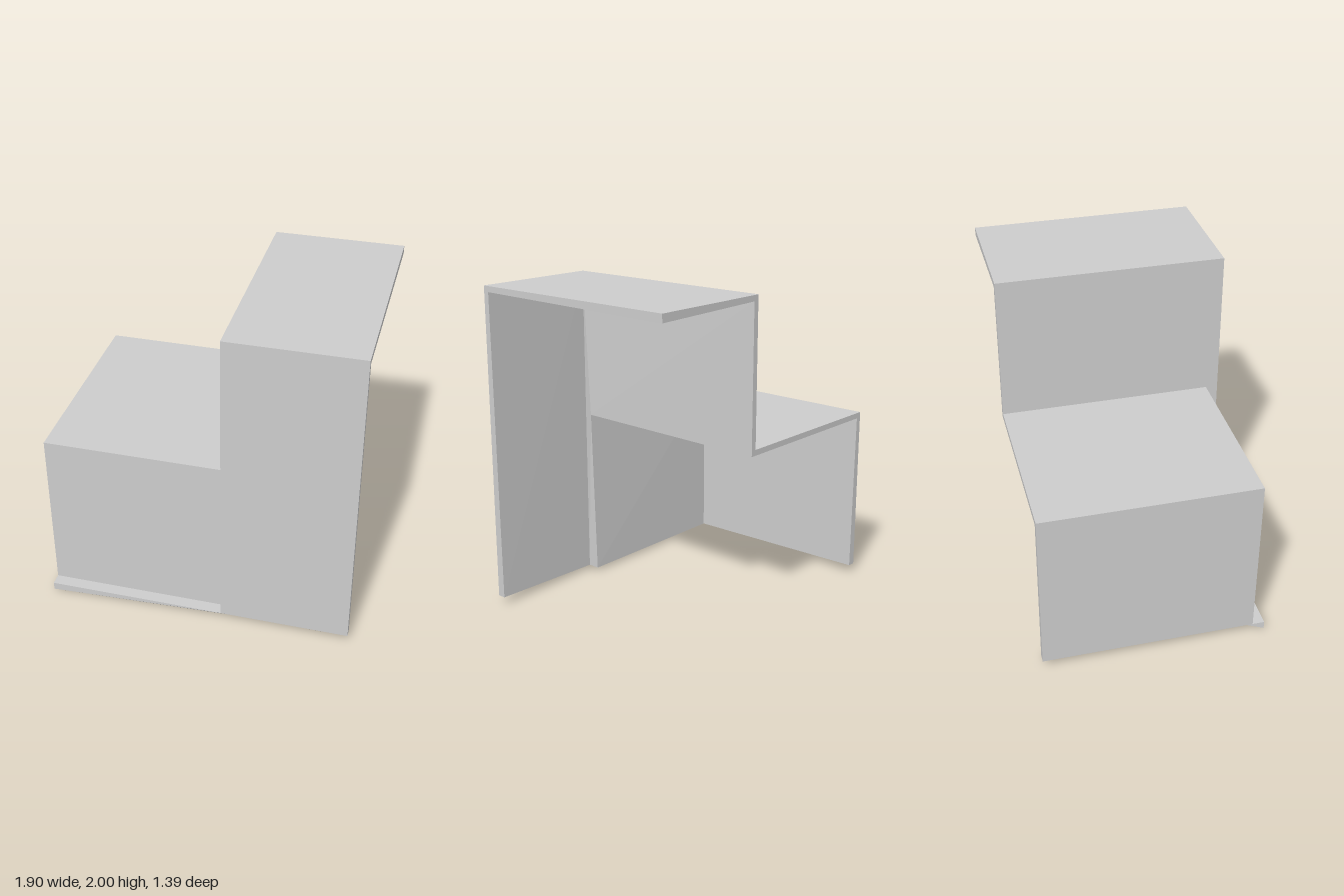
import * as THREE from 'three';

const THICKNESS = 0.05;

// Corner points of the stepped shell
const [X0, X1, X2] = [-0.95, 0.155, 0.95]; // low end, step, tall end
const [BACK, LOW, FRONT] = [-0.695, 0.62, 0.695];
const [FOOT, STEP, TOP] = [0.05, 1.1, 2];
const POINTS = {
  topBack: [X1, TOP, BACK], topFront: [X1, TOP, FRONT],
  topBackEnd: [X2, TOP, BACK], topFrontEnd: [X2, TOP, FRONT],
  footEnd: [X2, FOOT, FRONT], footStep: [X1, FOOT, FRONT], footLow: [X1, FOOT, LOW],
  stepFront: [X1, STEP, LOW], stepBack: [X1, STEP, BACK],
  sideBack: [X0, STEP, BACK], sideFront: [X0, STEP, LOW],
  sideFootFront: [X0, FOOT, LOW], sideFootBack: [X0, FOOT, BACK], ledgeEnd: [X0, FOOT, FRONT],
};

// Panels, counter-clockwise from outside; the L-shaped riser starts at its inner corner
const PANELS = {
  tallTop: ['topBack', 'topFront', 'topFrontEnd', 'topBackEnd'],
  tallFront: ['topFront', 'footStep', 'footEnd', 'topFrontEnd'],
  riserWall: ['stepFront', 'footLow', 'footStep', 'topFront', 'topBack', 'stepBack'],
  lowTop: ['sideBack', 'sideFront', 'stepFront', 'stepBack'],
  lowFront: ['sideFront', 'sideFootFront', 'footLow', 'stepFront'],
  sideWall: ['sideBack', 'sideFootBack', 'sideFootFront', 'sideFront'],
  footLedge: ['sideFootFront', 'ledgeEnd', 'footStep', 'footLow'],
};

export function createModel() {
  const model = new THREE.Group();
  model.name = 'steppedShell';
  const grey = new THREE.MeshStandardMaterial({ color: 0xcccccc });
  grey.name = 'lightGrey';

  const outer = {}, normal = {}, inner = {};
  for (const key in POINTS) {
    outer[key] = new THREE.Vector3(...POINTS[key]);
    normal[key] = new THREE.Vector3();
  }

  // Corner normals, weighted by the panel angle at each corner
  const edges = new Set();
  for (const loop of Object.values(PANELS)) {
    const n = loop.length;
    const face = new THREE.Vector3().crossVectors(
      outer[loop[1]].clone().sub(outer[loop[0]]),
      outer[loop[2]].clone().sub(outer[loop[0]])).normalize();
    loop.forEach((key, i) => {
      const next = loop[(i + 1) % n];
      const a = outer[next].clone().sub(outer[key]);
      const b = outer[loop[(i + n - 1) % n]].clone().sub(outer[key]);
      let angle = a.angleTo(b);
      if (a.clone().cross(b).dot(face) < 0) angle = 2 * Math.PI - angle;
      normal[key].addScaledVector(face, angle);
      edges.add(key + '>' + next);
    });
  }
  for (const key in outer) {
    inner[key] = outer[key].clone().addScaledVector(normal[key].normalize(), -THICKNESS);
  }

  // Each panel: outside skin, inside skin, and a rim along its free edges
  for (const [name, loop] of Object.entries(PANELS)) {
    const pts = [];
    for (let i = 1; i < loop.length - 1; i++) {
      const [a, b, c] = [loop[0], loop[i], loop[i + 1]];
      pts.push(outer[a], outer[b], outer[c], inner[a], inner[c], inner[b]);
    }
    loop.forEach((p, i) => {
      const q = loop[(i + 1) % loop.length];
      if (edges.has(q + '>' + p)) return;
      pts.push(outer[q], outer[p], inner[p], outer[q], inner[p], inner[q]);
    });
    const geometry = new THREE.BufferGeometry().setFromPoints(pts);
    geometry.computeVertexNormals();
    const mesh = new THREE.Mesh(geometry, grey);
    mesh.name = name;
    model.add(mesh);
  }
  return model;
}
